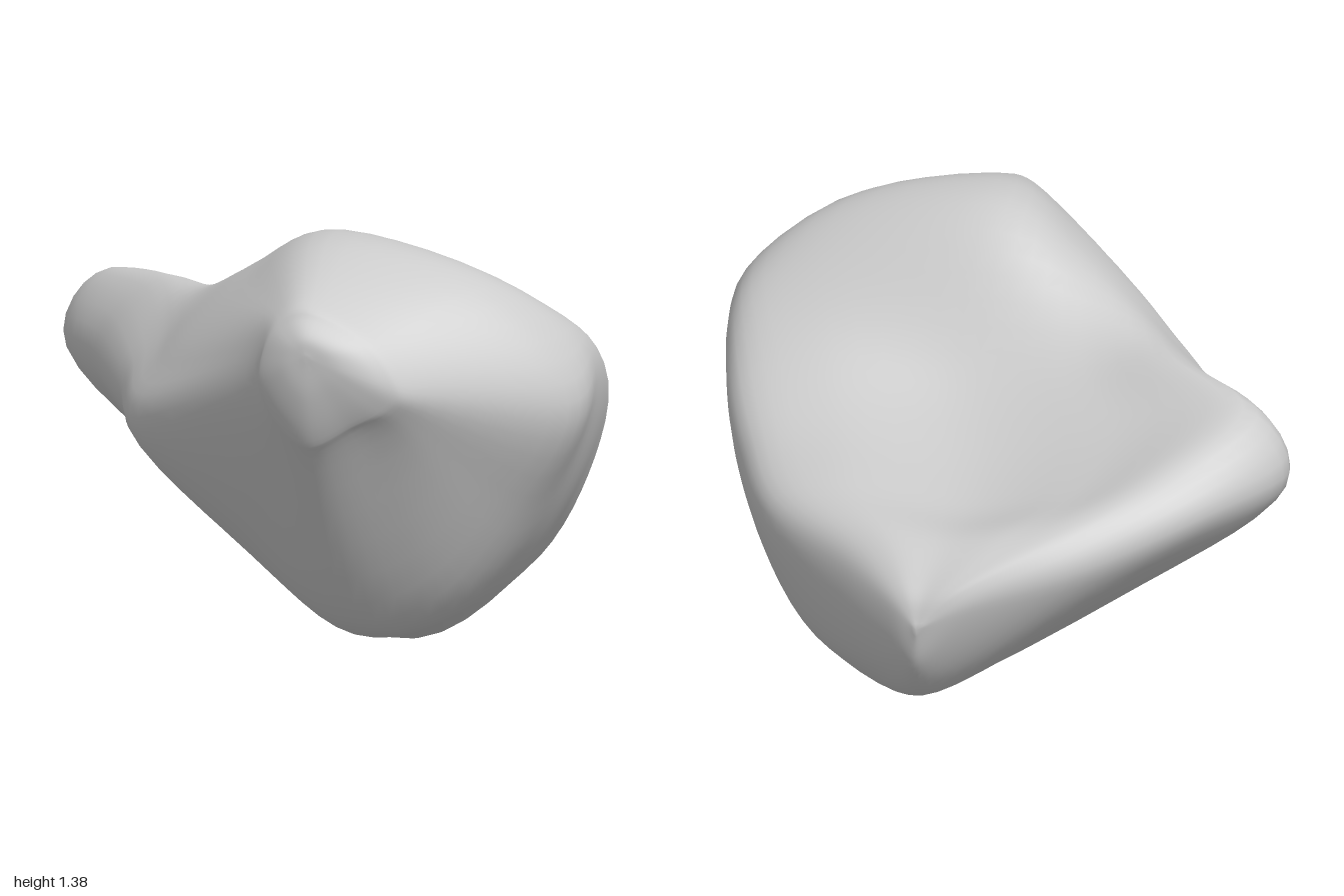
import * as THREE from 'three';
import { mergeVertices } from 'three/addons/utils/BufferGeometryUtils.js';

// Cross-sections from front to back: z, then [x, y] points running
// bottom, right side, shoulder, crest, left side and back to the bottom
const SECTIONS = [
  { z: 0.88, pts: [[.2, .71], [.38, .8], [.51, .88], [.56, .98], [.44, 1.15], [.2, 1.26], [.07, 1.21], [0, 1.1], [-.02, .96], [.06, .81]] },
  { z: 0.57, pts: [[.2, .18], [.49, .26], [.74, .55], [.93, .91], [.66, 1.26], [.15, 1.38], [-.12, 1.22], [-.37, .96], [-.46, .73], [-.1, .4]] },
  { z: 0.3, pts: [[.2, .08], [.58, .22], [.85, .6], [.94, .99], [.72, 1.18], [.15, 1.33], [-.17, 1.23], [-.45, 1.03], [-.61, .76], [-.2, .33]] },
  { z: 0.0, pts: [[.2, .01], [.58, .22], [.81, .58], [.87, .9], [.6, 1.0], [.15, .98], [-.25, 1.03], [-.58, 1.09], [-.79, .79], [-.34, .36]] },
  { z: -0.25, pts: [[.16, .045], [.54, .21], [.73, .5], [.77, .79], [.5, .87], [.05, .85], [-.4, .95], [-.82, 1.06], [-.955, .81], [-.56, .48]] },
  { z: -0.55, pts: [[.12, .14], [.43, .25], [.58, .48], [.62, .72], [.4, .81], [0, .78], [-.35, .86], [-.64, .94], [-.77, .79], [-.36, .44]] },
  { z: -0.8, pts: [[.08, .24], [.24, .32], [.33, .5], [.33, .68], [.21, .76], [0, .77], [-.2, .8], [-.37, .8], [-.44, .69], [-.17, .41]] },
];
const SIDES = 60;
const STEPS = 6;

// Shrinks a section towards a tip so the end closes in a rounded point
function tipSection(section, x, y, z, sx, sy) {
  return { z, pts: section.pts.map(([px, py]) => [x + (px - x) * sx, y + (py - y) * sy]) };
}

// Smooth closed outline through one section
function outline({ z, pts }) {
  const curve = new THREE.CatmullRomCurve3(
    pts.map(([x, y]) => new THREE.Vector3(x, y, z)), true, 'catmullrom', 0.5);
  return Array.from({ length: SIDES }, (_, j) => curve.getPoint(j / SIDES));
}

function rockGeometry() {
  const first = SECTIONS[0];
  const last = SECTIONS[SECTIONS.length - 1];
  const rings = [
    tipSection(first, 0.21, 1.1, 1.0, 0, 0),
    tipSection(first, 0.21, 1.1, 0.99, 0.35, 0.35),
    tipSection(first, 0.21, 1.08, 0.95, 0.7, 0.7),
    ...SECTIONS,
    tipSection(last, 0.05, 0.55, -0.95, 0.34, 0.5),
    tipSection(last, 0.05, 0.55, -1.0, 0, 0),
  ].map(outline);

  // Smooth lengthwise curves joining the outlines
  const rows = (rings.length - 1) * STEPS;
  const rails = Array.from({ length: SIDES }, (_, j) =>
    new THREE.CatmullRomCurve3(rings.map((r) => r[j]), false, 'catmullrom', 0.5));
  const positions = [];
  const index = [];
  for (let i = 0; i <= rows; i++) {
    for (let j = 0; j < SIDES; j++) {
      positions.push(...rails[j].getPoint(i / rows).toArray());
      if (i === rows) continue;
      const a = i * SIDES + j;
      const b = i * SIDES + (j + 1) % SIDES;
      const c = a + SIDES;
      const d = b + SIDES;
      if (i > 0) index.push(a, c, b);
      if (i < rows - 1) index.push(b, c, d);
    }
  }
  const geometry = new THREE.BufferGeometry();
  geometry.setAttribute('position', new THREE.Float32BufferAttribute(positions, 3));
  geometry.setIndex(index);
  const merged = mergeVertices(geometry, 1e-5);

  // Seat on the ground
  merged.computeBoundingBox();
  merged.translate(0, -merged.boundingBox.min.y, 0);
  merged.computeVertexNormals();
  return merged;
}

export function createModel() {
  const group = new THREE.Group();
  group.name = 'rock';
  const boulder = new THREE.Mesh(
    rockGeometry(), new THREE.MeshStandardMaterial({ color: 0xcccccc }));
  boulder.name = 'boulder';
  group.add(boulder);
  return group;
}
